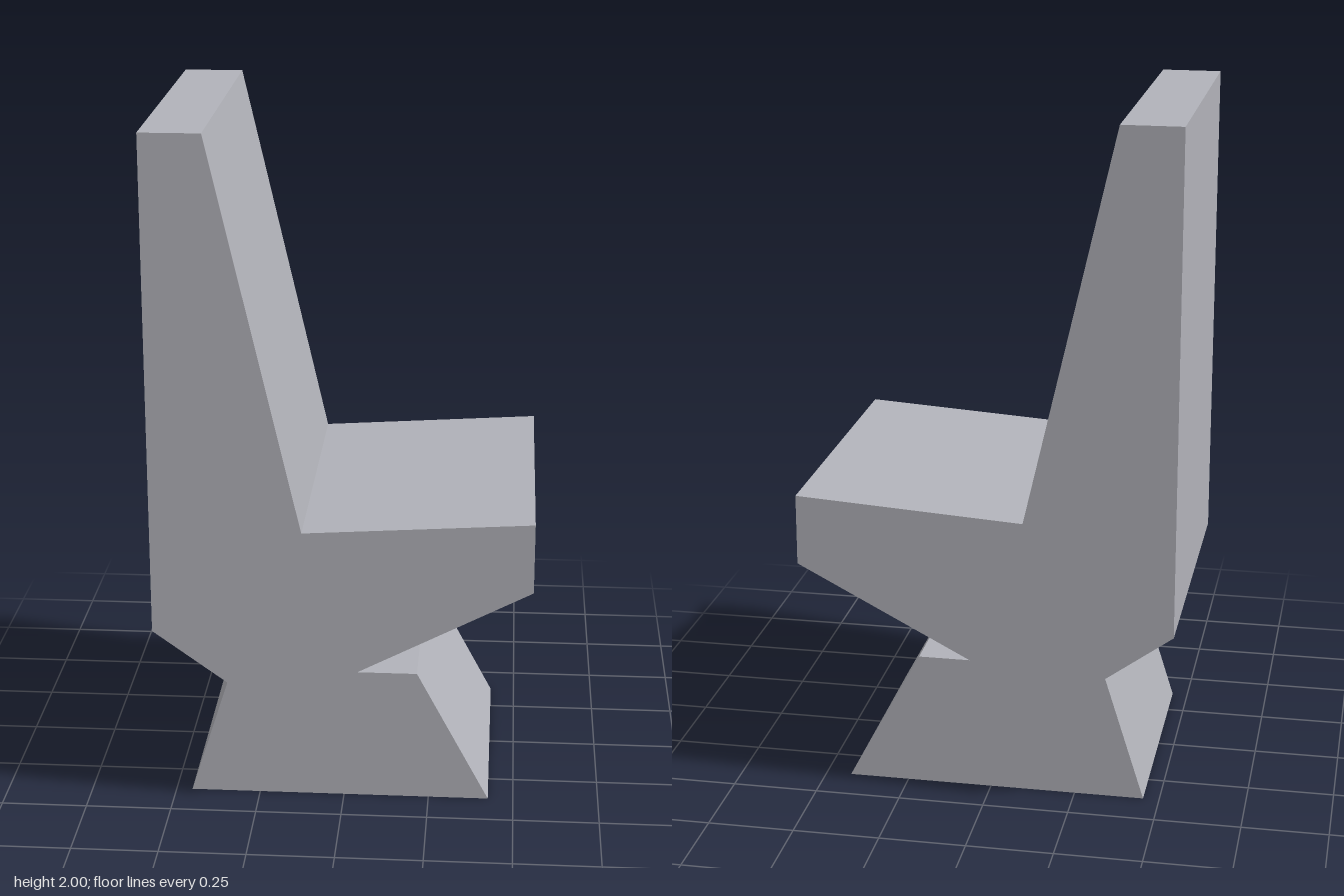
import * as THREE from 'three';

// Extrude a side profile (x, y) along z, centred on z = 0
function slab(name, points, depth, material) {
  const shape = new THREE.Shape(points.map(([x, y]) => new THREE.Vector2(x, y)));
  const geometry = new THREE.ExtrudeGeometry(shape, { depth, bevelEnabled: false });
  geometry.translate(0, 0, -depth / 2);
  const mesh = new THREE.Mesh(geometry, material);
  mesh.name = name;
  return mesh;
}

export function createModel() {
  const group = new THREE.Group();
  group.name = 'chair';

  const grey = new THREE.MeshStandardMaterial({ color: 0xb2b3ba });
  grey.name = 'light grey';

  // Seat and tapering backrest in one wedge-shaped body
  group.add(slab('seatAndBackrest', [
    [-0.543, 0.556], [-0.208, 0.313], [0.543, 0.705], [0.543, 0.91],
    [-0.112, 0.868], [-0.37, 2], [-0.543, 2],
  ], 0.95, grey));

  // Narrower pedestal with sloping ends
  group.add(slab('pedestal', [
    [-0.453, 0], [0.426, 0], [0.213, 0.398], [-0.328, 0.398],
  ], 0.748, grey));

  return group;
}
